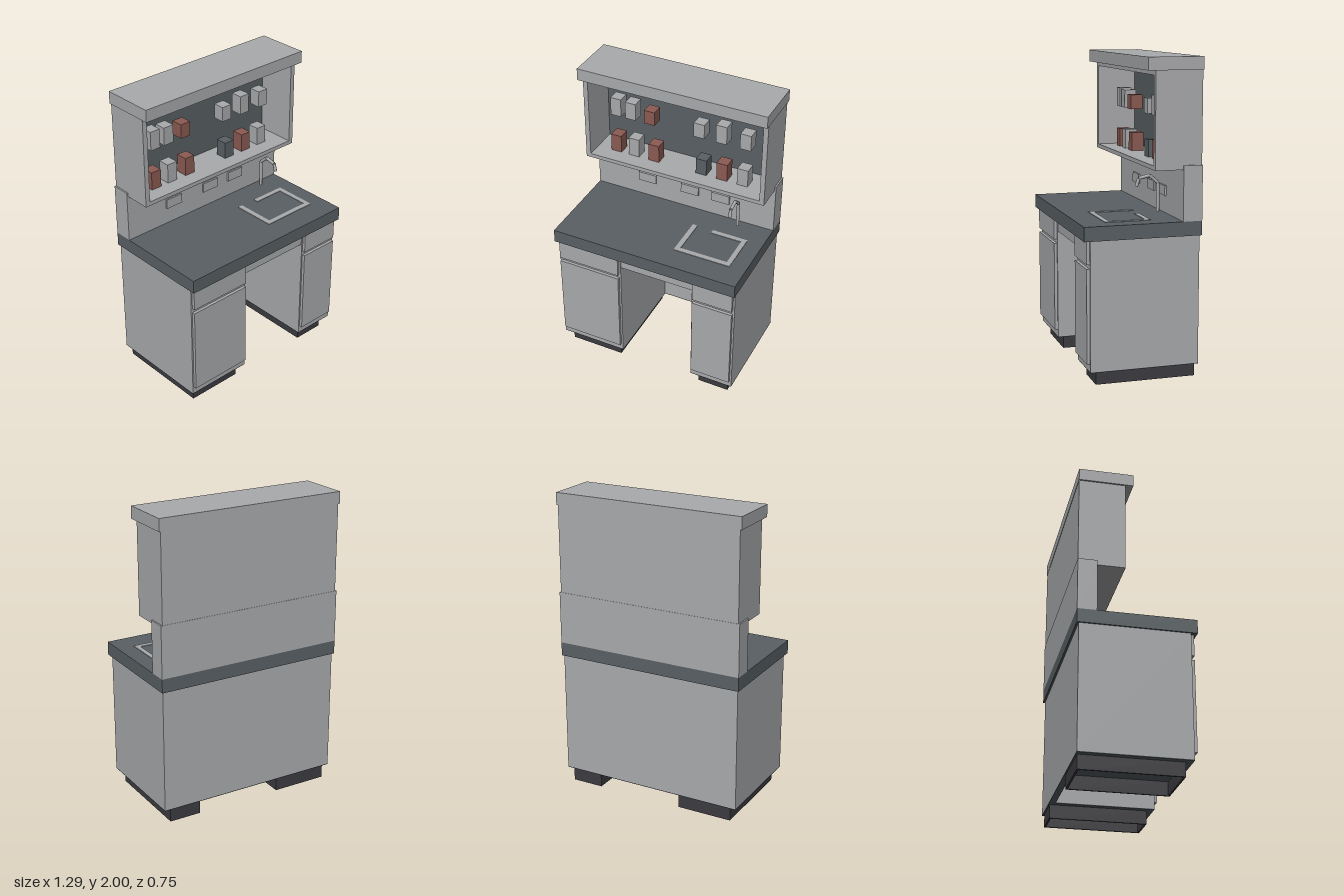
import * as THREE from 'three';

export function createModel() {
  const model = new THREE.Group();
  model.name = 'kitchenette';

  const material = (name, color) => {
    const m = new THREE.MeshStandardMaterial({ color });
    m.name = name;
    return m;
  };
  const grey = material('light grey', 0xa9aaac);
  const slate = material('slate', 0x596064);
  const brick = material('brick red', 0x8b5a52);
  const charcoal = material('charcoal', 0x3c3b40);

  // Box given by its extents along each axis
  const box = (name, mat, [x0, x1], [y0, y1], [z0, z1], parent = model) => {
    const mesh = new THREE.Mesh(new THREE.BoxGeometry(x1 - x0, y1 - y0, z1 - z0), mat);
    mesh.position.set((x0 + x1) / 2, (y0 + y1) / 2, (z0 + z1) / 2);
    mesh.name = name;
    parent.add(mesh);
    return mesh;
  };
  const group = (name) => {
    const g = new THREE.Group();
    g.name = name;
    model.add(g);
    return g;
  };

  // Base cabinets, each with a drawer, a door and a hollow plinth
  const baseCabinet = (name, x0, x1, inner0, inner1) => {
    const g = group(name);
    box('carcass', grey, [x0, x1], [0.095, 0.91], [-0.362, 0.335], g);
    box('underside', slate, [x0, x1], [0.09, 0.095], [-0.362, 0.335], g);
    const front = [x0 + 0.01, x1 - 0.012];
    box('drawerFront', grey, front, [0.765, 0.905], [0.335, 0.355], g);
    box('doorFront', grey, front, [0.143, 0.737], [0.335, 0.355], g);
    const t = 0.012;
    const y = [0, 0.09];
    box('plinthFront', charcoal, [inner0, inner1], y, [0.29 - t, 0.29], g);
    box('plinthBack', charcoal, [inner0, inner1], y, [-0.353, -0.353 + t], g);
    box('plinthSide', charcoal, [inner0, inner0 + t], y, [-0.353 + t, 0.29 - t], g);
    box('plinthSide', charcoal, [inner1 - t, inner1], y, [-0.353 + t, 0.29 - t], g);
  };
  baseCabinet('wideCabinet', -0.633, -0.177, -0.592, -0.217);
  baseCabinet('narrowCabinet', 0.335, 0.633, 0.375, 0.59);

  // Knee space between the cabinets
  box('kneeBackPanel', grey, [-0.177, 0.335], [0.095, 0.91], [-0.362, -0.32]);
  box('kneePanelUnderside', slate, [-0.177, 0.335], [0.09, 0.095], [-0.362, -0.32]);
  box('kneeApron', grey, [-0.177, 0.335], [0.82, 0.91], [0.3, 0.33]);

  // Worktop and splashback
  box('worktop', slate, [-0.643, 0.643], [0.91, 1.0], [-0.375, 0.375]);
  box('splashback', grey, [-0.643, 0.643], [1.0, 1.345], [-0.375, -0.252]);

  // Sink rim, with an opening at the rear
  const sink = group('sinkRim');
  const rimY = [1.0, 1.004];
  box('rimFront', grey, [0.146, 0.535], rimY, [0.18, 0.214], sink);
  box('rimLeft', grey, [0.503, 0.535], rimY, [-0.08, 0.18], sink);
  box('rimRight', grey, [0.146, 0.18], rimY, [-0.08, 0.18], sink);
  box('rimBack', grey, [0.29, 0.503], rimY, [-0.08, -0.048], sink);

  // Faucet bent from straight pipe sections
  const bends = [[1.035, -0.16], [1.215, -0.16], [1.263, -0.105], [1.247, -0.035], [1.197, -0.02]]
    .map(([y, z]) => new THREE.Vector3(0.428, y, z));
  const faucet = group('faucet');
  for (let i = 0; i < bends.length - 1; i++) {
    const dir = bends[i + 1].clone().sub(bends[i]);
    const pipe = new THREE.Mesh(new THREE.CylinderGeometry(0.011, 0.011, dir.length(), 8), grey);
    pipe.position.copy(bends[i]).addScaledVector(dir, 0.5);
    pipe.quaternion.setFromUnitVectors(new THREE.Vector3(0, 1, 0), dir.normalize());
    pipe.name = 'faucetPipe';
    faucet.add(pipe);
  }

  // Wall outlets
  for (const x of [-0.27, 0.043, 0.265]) {
    box('outlet', grey, [x - 0.064, x + 0.064], [1.112, 1.177], [-0.252, -0.241]);
  }

  // Open wall cabinet
  const upper = group('wallCabinet');
  const depth = [-0.373, -0.073];
  box('sidePanel', grey, [-0.633, -0.601], [1.318, 1.92], depth, upper);
  box('sidePanel', grey, [0.601, 0.633], [1.318, 1.92], depth, upper);
  box('shelf', grey, [-0.601, 0.601], [1.318, 1.345], depth, upper);
  box('topRail', grey, [-0.601, 0.601], [1.89, 1.92], depth, upper);
  box('backPanel', grey, [-0.601, 0.601], [1.345, 1.89], [-0.373, -0.345], upper);
  box('backLining', slate, [-0.601, 0.601], [1.345, 1.89], [-0.345, -0.337], upper);
  box('cornice', grey, [-0.643, 0.643], [1.92, 2.0], [-0.375, -0.022], upper);

  // Canisters: centre x, top height, colour
  const rows = [
    [1.62, [[-0.46, 1.747, grey], [-0.354, 1.74, grey], [-0.217, 1.716, brick],
      [0.132, 1.72, grey], [0.286, 1.747, grey], [0.45, 1.73, grey]]],
    [1.345, [[-0.463, 1.467, brick], [-0.333, 1.475, grey], [-0.188, 1.467, brick],
      [0.152, 1.457, slate], [0.297, 1.467, brick], [0.44, 1.467, grey]]],
  ];
  for (const [y, items] of rows) {
    for (const [x, top, mat] of items) {
      box('canister', mat, [x - 0.037, x + 0.037], [y, top], [-0.257, -0.177]);
    }
  }

  return model;
}
